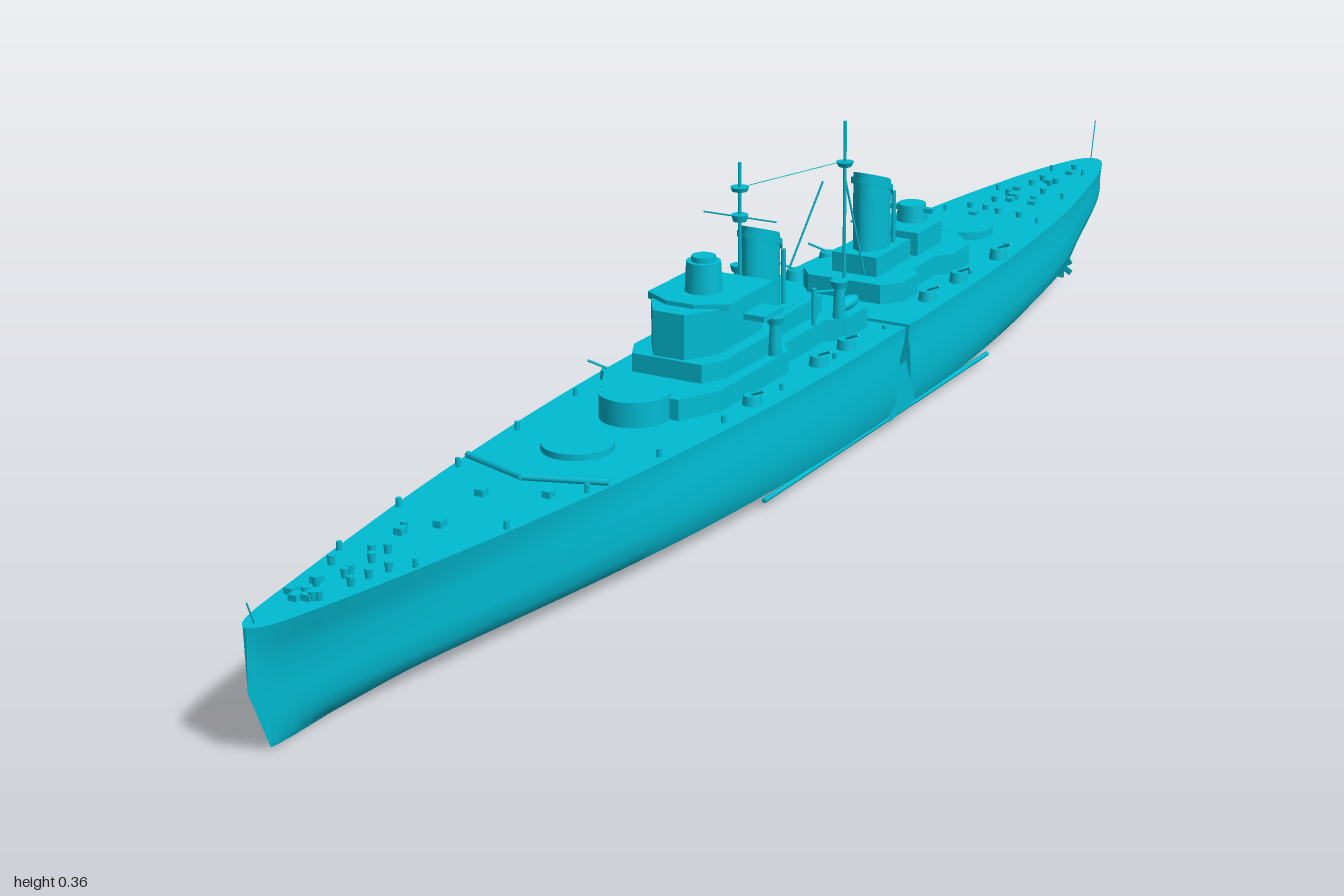
import * as THREE from 'three';
import { toCreasedNormals } from 'three/addons/utils/BufferGeometryUtils.js';

const mat = new THREE.MeshStandardMaterial({ color: 0x00bcd4 });
const thin = new THREE.MeshStandardMaterial({ color: 0x00bcd4, side: THREE.DoubleSide });

// Hull stations: z, keel height, deck height, then half widths of deck, side and bottom
const AFT = [
  [-1.0, 0.085, 0.118, 0.004, 0.003, 0.001], [-0.985, 0.065, 0.119, 0.017, 0.015, 0.006],
  [-0.95, 0.058, 0.119, 0.031, 0.029, 0.014], [-0.88, 0.05, 0.12, 0.049, 0.048, 0.028],
  [-0.8, 0.034, 0.12, 0.065, 0.065, 0.036], [-0.72, 0.01, 0.12, 0.079, 0.08, 0.042],
  [-0.6, 0.003, 0.121, 0.094, 0.096, 0.062], [-0.45, 0.002, 0.122, 0.108, 0.11, 0.086],
  [-0.3, 0.002, 0.123, 0.116, 0.119, 0.102], [-0.147, 0.002, 0.124, 0.119, 0.121, 0.108],
];
const FORE = [
  [-0.117, 0.002, 0.124, 0.119, 0.121, 0.108], [0.05, 0.002, 0.124, 0.119, 0.121, 0.108],
  [0.2, 0.002, 0.125, 0.115, 0.117, 0.1], [0.35, 0.002, 0.126, 0.106, 0.107, 0.084],
  [0.5, 0.002, 0.127, 0.092, 0.09, 0.062], [0.65, 0.002, 0.129, 0.073, 0.067, 0.038],
  [0.78, 0.002, 0.131, 0.053, 0.043, 0.02], [0.88, 0.002, 0.133, 0.036, 0.024, 0.009],
  [0.95, 0.002, 0.135, 0.023, 0.011, 0.004], [0.985, 0.003, 0.136, 0.013, 0.005, 0.002],
  [1.0, 0.004, 0.137, 0.002, 0.001, 0.0008],
];

function hullGeometry(rows, breakAtStart) {
  const A = new THREE.CatmullRomCurve3(rows.map(r => new THREE.Vector3(r[0], r[1], r[2])), false, 'catmullrom');
  const B = new THREE.CatmullRomCurve3(rows.map(r => new THREE.Vector3(r[3], r[4], r[5])), false, 'catmullrom');
  const N = (rows.length - 1) * 5, pos = [], idx = [];
  let M = 0;
  for (let i = 0; i <= N; i++) {
    const { x: z, y: k, z: d } = A.getPoint(i / N), { x: w, y: s, z: b } = B.getPoint(i / N);
    const half = [[b * 0.5, 0.02], [b * 0.9, 0.06], [b * 0.45 + s * 0.55, 0.14], [b * 0.1 + s * 0.9, 0.26],
      [s, 0.42], [s, 0.7], [s * 0.4 + w * 0.6 - 0.02 * w, 0.86], [w, 1], [w * 0.5, 1]];
    const ring = [[0, 0], ...half, [0, 1], ...half.slice().reverse().map(p => [-p[0], p[1]])];
    M = ring.length;
    ring.forEach(([x, t], j) => {
      let zz = z - 0.03 * (1 - t) * THREE.MathUtils.smoothstep(z, 0.8, 1);
      // torn edge where the ship is broken
      if (breakAtStart && i === 0) zz -= t > 0.8 ? 0.02 : 0.005 * (j % 2);
      pos.push(x, k + (d - k) * t, zz);
    });
  }
  for (let i = 0; i < N; i++) for (let j = 0; j < M; j++) {
    const a = i * M + j, b = i * M + (j + 1) % M;
    idx.push(a, b, a + M, b, b + M, a + M);
  }
  for (const i of [0, N]) {
    const r = A.getPoint(i / N), c = pos.length / 3;
    pos.push(0, (r.y + r.z) / 2, r.x);
    for (let j = 0; j < M; j++) {
      const a = i * M + j, b = i * M + (j + 1) % M;
      idx.push(c, ...(i ? [a, b] : [b, a]));
    }
  }
  const g = new THREE.BufferGeometry();
  g.setAttribute('position', new THREE.Float32BufferAttribute(pos, 3));
  g.setIndex(idx);
  return toCreasedNormals(g, 0.6);
}

export function createModel() {
  const root = new THREE.Group();
  const add = (name, geo, x = 0, y = 0, z = 0, m = mat) => {
    const o = new THREE.Mesh(geo, m);
    o.name = name; o.position.set(x, y, z); root.add(o);
    return o;
  };
  const box = (name, w, h, d, x, y0, z) => add(name, new THREE.BoxGeometry(w, h, d), x, y0 + h / 2, z);
  const cyl = (name, r1, r2, h, x, y0, z, n = 20) => add(name, new THREE.CylinderGeometry(r1, r2, h, n), x, y0 + h / 2, z);
  const rod = (name, a, b, r) => {
    const p = new THREE.Vector3(...a), q = new THREE.Vector3(...b);
    const o = add(name, new THREE.CylinderGeometry(r, r, p.distanceTo(q), 8));
    o.position.copy(p).lerp(q, 0.5);
    o.quaternion.setFromUnitVectors(new THREE.Vector3(0, 1, 0), q.sub(p).normalize());
    return o;
  };
  const both = f => [1, -1].forEach(f);
  // deckhouse from a half plan of [x, z] corners, mirrored
  const house = (name, half, y0, y1) => {
    const pts = [...half, ...half.slice().reverse().map(p => [-p[0], p[1]])].map(p => new THREE.Vector2(p[0], -p[1]));
    const g = new THREE.ExtrudeGeometry(new THREE.Shape(pts), { depth: y1 - y0, bevelEnabled: false });
    return add(name, g.rotateX(-Math.PI / 2), 0, y0);
  };

  // Hull halves
  add('aftHull', hullGeometry(AFT, false));
  add('foreHull', hullGeometry(FORE, true));

  // Torn plates and girders at the break
  both(s => {
    const p = add('tornPlate', new THREE.PlaneGeometry(0.05, 0.06, 3, 3), s * 0.121, 0.05, -0.112, thin);
    p.rotation.set(0.15, s * (Math.PI / 2 - 0.25), 0.2);
    for (let i = 0; i < 3; i++) rod('brokenGirder', [s * (0.03 + i * 0.03), 0.03 + i * 0.02, -0.11], [s * (0.035 + i * 0.03), 0.025 + i * 0.025, -0.14], 0.002);
    rod('bilgeKeel', [s * 0.107, 0.012, -0.4], [s * 0.108, 0.012, 0.2], 0.003);
  });

  // Rudder, shafts and propellers
  const rs = new THREE.Shape([[-0.87, 0.06], [-0.915, 0.06], [-0.905, 0.004], [-0.885, 0.004]].map(p => new THREE.Vector2(...p)));
  const rg = new THREE.ExtrudeGeometry(rs, { depth: 0.008, bevelEnabled: false });
  add('rudder', rg.rotateY(-Math.PI / 2), 0.004, 0, 0);
  for (const [x, z] of [[0, -0.85], [0.05, -0.77], [-0.05, -0.77]]) {
    rod('propellerShaft', [x, 0.032, z + 0.2], [x, 0.024, z], 0.003);
    rod('shaftBracket', [x, 0.025, z + 0.015], [x * 0.8, 0.06, z + 0.02], 0.0025);
    for (let k = 0; k < 3; k++) {
      const b = box('propellerBlade', 0.008, 0.034, 0.002, x, 0.007, z);
      b.rotation.z = k * Math.PI / 3;
    }
  }

  // Gun barbettes and breakwater
  cyl('barbetteForward', 0.04, 0.04, 0.012, 0, 0.122, 0.42, 32);
  cyl('barbetteRaised', 0.04, 0.04, 0.035, 0, 0.12, 0.3, 32);
  cyl('barbetteAft', 0.04, 0.04, 0.012, 0, 0.12, -0.55, 32);
  both(s => rod('breakwater', [0, 0.13, 0.53], [s * 0.088, 0.13, 0.5], 0.004));

  // Forward superstructure
  house('foreDeckhouse', [[0.05, 0.29], [0.075, 0.24], [0.075, 0.08], [0.058, 0.06], [0.058, -0.04], [0.078, -0.06], [0.078, -0.115], [0.06, -0.132]], 0.12, 0.15);
  house('midDeckhouse', [[0.045, 0.23], [0.06, 0.2], [0.06, 0.075], [0.04, 0.06], [0.04, -0.07]], 0.15, 0.172);
  house('bridge', [[0.02, 0.225], [0.043, 0.19], [0.043, 0.085]], 0.15, 0.225);
  house('bridgePlatform', [[0.018, 0.2], [0.053, 0.18], [0.053, 0.075]], 0.222, 0.23);
  cyl('conningTower', 0.02, 0.022, 0.037, 0, 0.228, 0.145);
  cyl('conningTowerTop', 0.014, 0.014, 0.006, 0, 0.265, 0.145);
  house('bridgeWing', [[0.07, 0.13], [0.07, 0.085]], 0.197, 0.204);

  // Funnels: oval, raked top, with casing and rim
  for (const [z, top] of [[0.012, 0.28], [-0.28, 0.275]]) {
    const shape = (r, h0, h1) => {
      const g = new THREE.CylinderGeometry(r, r, 1, 32, 1), p = g.attributes.position;
      for (let i = 0; i < p.count; i++) {
        const t = p.getY(i) + 0.5, zz = p.getZ(i) * 1.5;
        const slope = 0.35 * (0.033 - zz) + 6 * Math.max(0, -zz) ** 2;
        p.setXYZ(i, p.getX(i), t ? h1 - slope : h0 - (h0 > 0.2 ? slope : 0), zz);
      }
      g.computeVertexNormals();
      return g;
    };
    add('funnel', shape(0.021, 0.14, top), 0, 0, z);
    add('funnelRim', shape(0.0235, top - 0.014, top - 0.006), 0, 0, z);
    box('funnelCasing', 0.062, 0.025, 0.095, 0, 0.148, z);
    both(s => rod('steamPipe', [s * 0.018, 0.15, z - 0.025], [s * 0.018, 0.24, z - 0.025], 0.003));
  }

  // Aft superstructure
  house('aftDeckhouse', [[0.05, -0.205], [0.07, -0.23], [0.07, -0.27], [0.055, -0.29], [0.055, -0.35], [0.07, -0.37], [0.07, -0.42], [0.035, -0.46]], 0.12, 0.148);
  house('aftUpperHouse', [[0.035, -0.34], [0.035, -0.41], [0.02, -0.43]], 0.148, 0.178);
  cyl('aftDirector', 0.018, 0.02, 0.022, 0, 0.178, -0.395);
  box('rangefinder', 0.06, 0.006, 0.008, 0, 0.19, -0.395);

  // Masts, yards and wires
  rod('foreMast', [0, 0.17, 0.06], [0, 0.36, 0.06], 0.0022);
  cyl('mastLookout', 0.011, 0.009, 0.005, 0, 0.326, 0.06);
  cyl('mastPlatform', 0.01, 0.008, 0.008, 0, 0.29, 0.06);
  rod('foreYard', [-0.048, 0.295, 0.06], [0.048, 0.295, 0.06], 0.001);
  rod('aftMast', [0, 0.14, -0.205], [0, 0.35, -0.205], 0.0022);
  cyl('aftMastPlatform', 0.011, 0.008, 0.006, 0, 0.293, -0.205);
  both(s => rod('mastLeg', [s * 0.015, 0.14, -0.235], [0, 0.28, -0.205], 0.0014));
  rod('aerialWire', [0, 0.33, 0.06], [0, 0.3, -0.205], 0.0005);
  rod('aerialBoom', [0.036, 0.225, 0.005], [0.063, 0.325, -0.026], 0.0013);
  rod('sternStaff', [0, 0.118, -0.985], [0, 0.175, -0.998], 0.0008);
  rod('bowStaff', [0, 0.135, 0.985], [0, 0.16, 0.995], 0.0008);

  // Side directors, light guns, boats and cranes
  both(s => {
    for (const z of [-0.06, 0.1]) {
      cyl('sideDirector', 0.006, 0.008, 0.045, s * 0.068, 0.148, z, 12);
      cyl('sideDirectorHead', 0.011, 0.009, 0.008, s * 0.068, 0.188, z, 12);
    }
    for (const z of [0.2, 0.04, -0.03, -0.25, -0.34, -0.46]) {
      cyl('gunMount', 0.01, 0.012, 0.014, s * 0.093, 0.122, z, 12);
      rod('gunBarrel', [s * 0.093, 0.136, z], [s * 0.115, 0.147, z + 0.012], 0.0015);
    }
    rod('crane', [s * 0.055, 0.148, -0.02], [s * 0.055, 0.195, -0.02], 0.003);
    rod('craneJib', [s * 0.055, 0.19, -0.02], [s * 0.06, 0.175, -0.09], 0.002);
    const boat = add('boat', new THREE.SphereGeometry(1, 14, 8), s * 0.06, 0.157, -0.095);
    boat.scale.set(0.009, 0.008, 0.028);
  });

  // Bollards, vents and hatches scattered on the open decks
  let seed = 7;
  const rnd = () => (seed = (seed * 16807) % 2147483647) / 2147483647;
  for (let i = 0; i < 44; i++) {
    const fore = i % 2 === 0, z = fore ? 0.56 + 0.38 * rnd() : -0.62 - 0.32 * rnd();
    const x = (rnd() * 2 - 1) * 0.75 * 0.1 * (1 - Math.abs(z) ** 3), y = fore ? 0.118 + 0.016 * Math.abs(z) : 0.117;
    if (i % 3) cyl('vent', 0.0045, 0.0035, 0.011, x, y, z, 10);
    else box('hatch', 0.01, 0.008, 0.012, x, y, z);
  }
  for (let z = -0.9; z < 0.92; z += 0.13) {
    const w = 0.11 * (1 - Math.abs(z) ** 2.6), y = z > 0 ? 0.121 + 0.012 * z : 0.118;
    both(s => cyl('bollard', 0.003, 0.003, 0.01, s * w * 0.9, y, z, 8));
  }
  return root;
}
